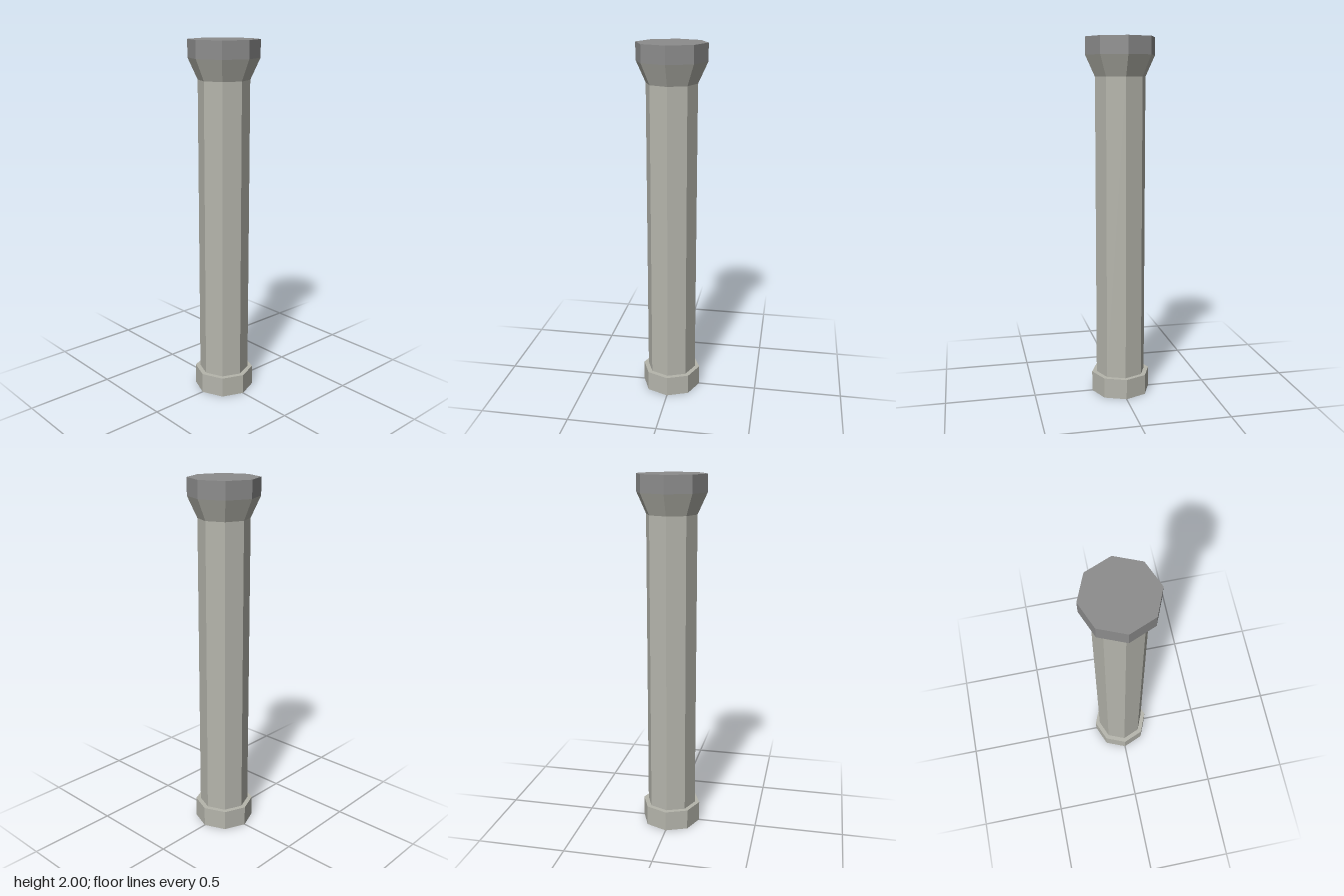
import * as THREE from 'three';

export function createModel() {
  const model = new THREE.Group();
  model.name = 'column';

  const paleStone = new THREE.MeshStandardMaterial({ color: 0xb5b5ac, flatShading: true });
  paleStone.name = 'paleStone';
  const greyStone = new THREE.MeshStandardMaterial({ color: 0x8c8c8c, flatShading: true });
  greyStone.name = 'greyStone';

  // One octagonal section between two heights, corners on the axes
  function section(name, bottomRadius, topRadius, y0, y1, material, open = false) {
    const geometry = new THREE.CylinderGeometry(topRadius, bottomRadius, y1 - y0, 8, 1, open);
    const mesh = new THREE.Mesh(geometry, material);
    mesh.name = name;
    mesh.position.y = (y0 + y1) / 2;
    model.add(mesh);
  }

  section('base', 0.167, 0.167, 0, 0.115, paleStone);
  section('shaft', 0.14, 0.14, 0.115, 1.79, paleStone, true);
  // Flared capital and its flat-topped slab
  section('capitalFlare', 0.14, 0.193, 1.79, 1.905, paleStone, true);
  section('capitalSlab', 0.193, 0.193, 1.905, 2, greyStone);

  return model;
}
